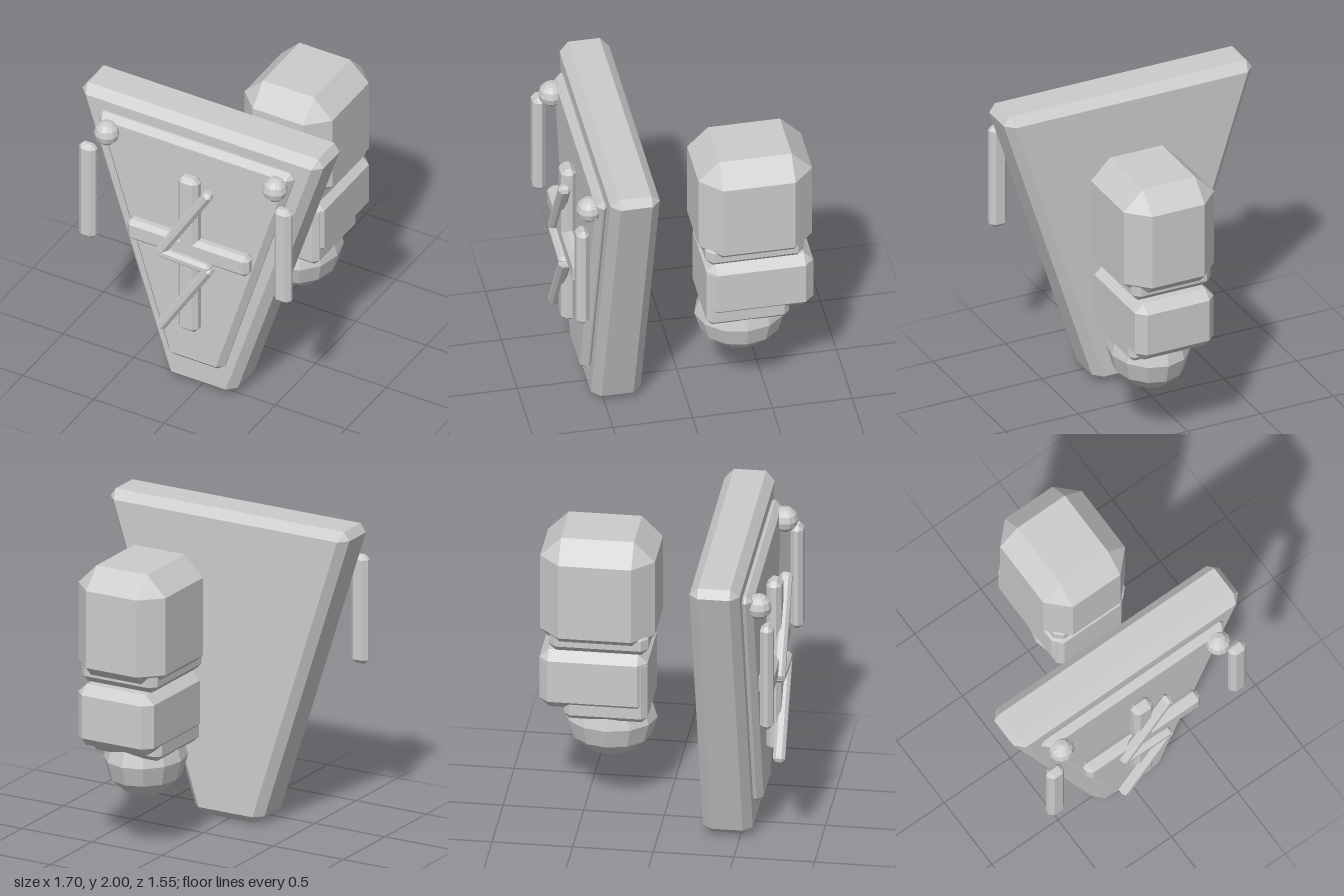
import * as THREE from 'three';
import { ConvexGeometry } from 'three/addons/geometries/ConvexGeometry.js';

const material = new THREE.MeshStandardMaterial({ color: 0xcccccc, flatShading: true });

// Box with chamfered edges; half width runs linearly from wBottom/2 to wTop/2
function chamferedBlock(wTop, wBottom, h, d, c) {
  const points = [];
  const add = (sx, sy, sz, ix, iy, iz) => {
    const y = sy * (h / 2 - iy);
    const half = THREE.MathUtils.lerp(wBottom, wTop, y / h + 0.5) / 2;
    points.push(new THREE.Vector3(sx * (half - ix), y, sz * (d / 2 - iz)));
  };
  for (const sx of [-1, 1]) for (const sy of [-1, 1]) for (const sz of [-1, 1]) {
    add(sx, sy, sz, 0, c, c);
    add(sx, sy, sz, c, 0, c);
    add(sx, sy, sz, c, c, 0);
  }
  return new ConvexGeometry(points);
}

export function createModel() {
  const group = new THREE.Group();

  function place(name, geometry, x, y, z) {
    const mesh = new THREE.Mesh(geometry, material);
    mesh.name = name;
    mesh.position.set(x, y, z);
    group.add(mesh);
    return mesh;
  }

  // Box given by its limits on each axis
  function block(name, [x0, x1], [y0, y1], [z0, z1], c) {
    return place(name, chamferedBlock(x1 - x0, x1 - x0, y1 - y0, z1 - z0, c),
      (x0 + x1) / 2, (y0 + y1) / 2, (z0 + z1) / 2);
  }

  // Tapered shield and its raised front plate
  place('shield', chamferedBlock(1.74, 0.46, 2, 0.31, 0.055), 0, 1, 0.42);
  place('frontPlate', chamferedBlock(1.405, 0.375, 1.67, 0.09, 0.04), 0, 1.05, 0.593);

  // Cross on the plate
  block('crossUpright', [-0.07, 0.07], [0.52, 1.68], [0.638, 0.732], 0.03);
  block('crossBar', [-0.43, 0.43], [1.075, 1.225], [0.638, 0.732], 0.03);

  // Zigzag of three thin bars over the cross
  const zigzag = [[0.165, 1.635], [-0.175, 1.085], [0.17, 1.07], [-0.175, 0.515]];
  for (let i = 0; i < 3; i++) {
    const [ax, ay] = zigzag[i], [bx, by] = zigzag[i + 1];
    const length = Math.hypot(bx - ax, by - ay) + 0.02;
    const bar = place('zigzagBar' + (i + 1), chamferedBlock(0.068, 0.068, length, 0.075, 0.02),
      (ax + bx) / 2, (ay + by) / 2, 0.735);
    bar.rotation.z = Math.atan2(ax - bx, by - ay);
  }

  // Mirrored studs and hanging rods
  for (const [side, s] of [['left', 1], ['right', -1]]) {
    place(side + 'Stud', new THREE.SphereGeometry(0.081, 12, 6), s * 0.595, 1.79, 0.668);
    place(side + 'Rod', chamferedBlock(0.117, 0.117, 0.705, 0.08, 0.028), s * 0.69, 1.362, 0.731);
  }

  // Fist and forearm behind the shield
  block('upperBlock', [-0.11, 0.51], [1.1, 1.86], [-0.773, -0.061], 0.13);
  block('upperBand', [-0.07, 0.47], [1.11, 1.265], [-0.713, -0.095], 0.043);
  block('lowerBlock', [-0.07, 0.47], [0.71, 1.105], [-0.773, -0.103], 0.058);
  block('lowerCore', [-0.05, 0.45], [0.64, 1.07], [-0.62, -0.103], 0.035);
  place('ballEnd', new THREE.SphereGeometry(1, 12, 6), 0.2, 0.575, -0.356).scale.set(0.25, 0.25, 0.287);

  return group;
}
